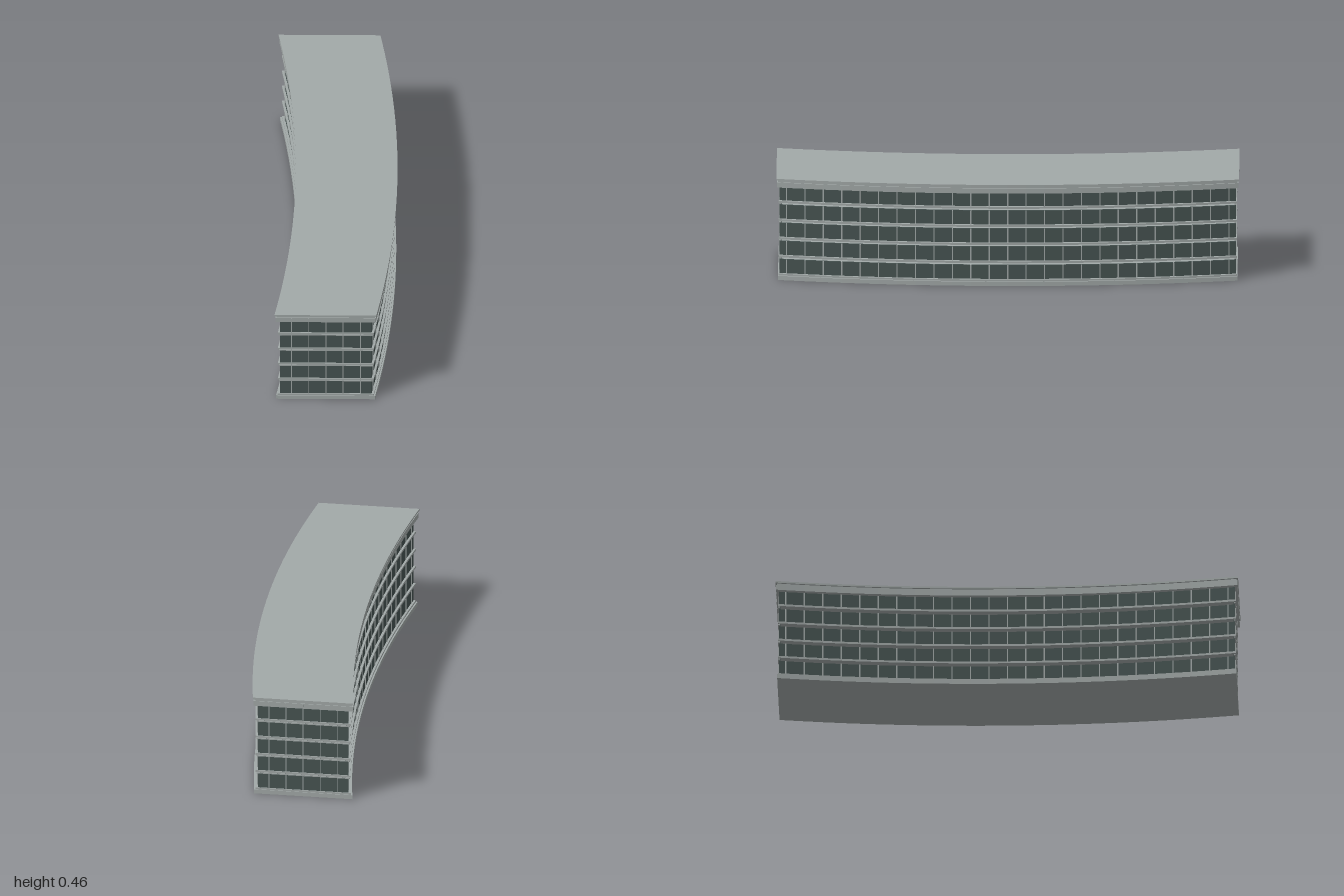
import * as THREE from 'three';

const concrete = new THREE.MeshStandardMaterial({ color: 0xa2a9a8 });
concrete.name = 'concrete';
const glass = new THREE.MeshStandardMaterial({ color: 0x475452 });
glass.name = 'glass';

// Plan curve: the centre line of the building is a shallow arc
const R = 6.07, MID = 0.0405, BAY = 0.0797, BAYS = 12;
const arc = z => MID - (R - Math.sqrt(R * R - z * z));

// Solid following the arc, between x offsets a and b from the centre line
function band(a, b, zEnd, y0, y1) {
  const zs = [-zEnd];
  for (let k = -BAYS; k <= BAYS; k++) zs.push(k * BAY);
  zs.push(zEnd);
  const pts = zs.map(z => new THREE.Vector2(arc(z) + b, z));
  for (const z of zs.slice().reverse()) pts.push(new THREE.Vector2(arc(z) + a, z));
  const geo = new THREE.ExtrudeGeometry(new THREE.Shape(pts), { depth: y1 - y0, bevelEnabled: false });
  geo.rotateX(-Math.PI / 2);
  geo.translate(0, y0, 0);
  return geo;
}

export function createModel() {
  const model = new THREE.Group();
  model.name = 'curvedOfficeBlock';
  const add = (name, geo, mat, x = 0, y = 0, z = 0, ry = 0) => {
    const mesh = new THREE.Mesh(geo, mat);
    mesh.name = name;
    mesh.position.set(x, y, z);
    mesh.rotation.y = ry;
    model.add(mesh);
  };

  // Plinth, parapet and roof courses: half width, z end, bottom, top
  const courses = [
    ['plinth', 0.2145, 0.993, 0, 0.019],
    ['groundFloor', 0.2075, 0.99, 0.019, 0.027],
    ['parapet', 0.217, 0.997, 0.42, 0.443],
    ['cornice', 0.212, 0.994, 0.443, 0.452],
    ['roof', 0.22, 1, 0.452, 0.46],
  ];
  for (const [name, h, zEnd, y0, y1] of courses) add(name, band(-h, h, zEnd, y0, y1), concrete);

  // Storeys: floor slab, curved window bands and their mullions
  const floors = [0.027, 0.11, 0.192, 0.274, 0.357];
  const mullion = new THREE.BoxGeometry(0.005, 0.063, 0.005);
  floors.forEach((y, i) => {
    if (i > 0) add('floorSlab', band(-0.2075, 0.2075, 0.99, y - 0.009, y), concrete);
    for (const s of [-1, 1]) {
      const [a, b] = s > 0 ? [0.191, 0.1975] : [-0.1975, -0.191];
      add('sideGlass', band(a, b, 0.986, y, y + 0.063), glass);
      for (let k = -BAYS; k <= BAYS; k++) {
        const z = k * BAY;
        add('sideMullion', mullion, concrete, arc(z) + s * 0.198, y + 0.0315, z, -Math.asin(z / R));
      }
    }
  });

  // Straight end walls
  const endX = arc(0.986);
  const endGlass = new THREE.BoxGeometry(0.386, 0.393, 0.006);
  const endMullion = new THREE.BoxGeometry(0.0035, 0.393, 0.004);
  const endTransom = new THREE.BoxGeometry(0.407, 0.005, 0.008);
  const bracket = new THREE.BoxGeometry(0.0035, 0.013, 0.003);
  for (const s of [-1, 1]) {
    add('endGlass', endGlass, glass, endX, 0.2235, s * 0.983);
    for (let i = 0; i < 5; i++) {
      const x = endX + (i - 2) * 0.0745;
      add('endMullion', endMullion, concrete, x, 0.2235, s * 0.9865);
      add('parapetBracket', bracket, concrete, x, 0.435, s * 0.997);
    }
    for (const y of floors.slice(1)) add('endTransom', endTransom, concrete, endX, y - 0.0135, s * 0.985);
  }
  return model;
}
